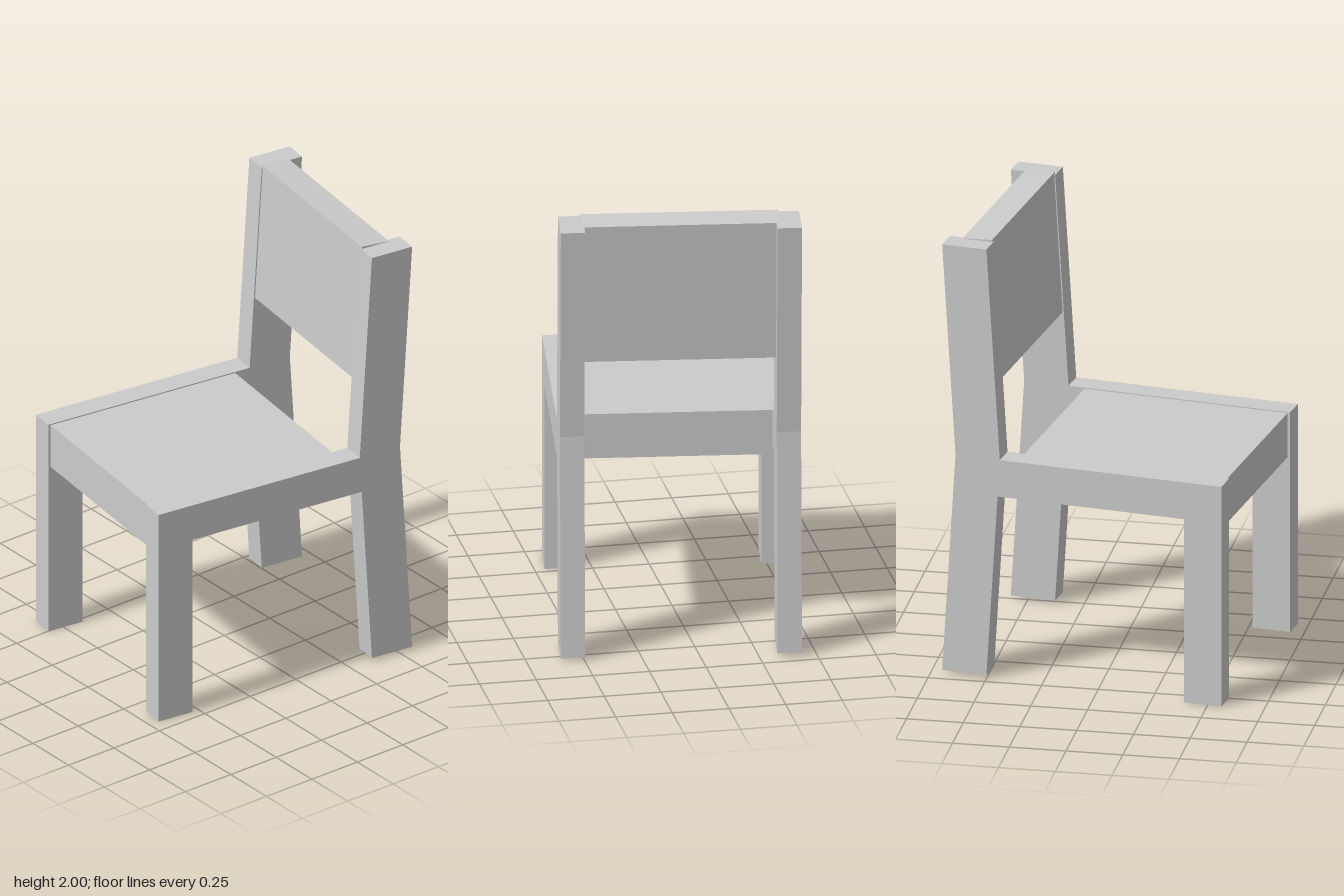
import * as THREE from 'three';

const material = new THREE.MeshStandardMaterial({ color: 0xcccccc, flatShading: true });

// Extrudes a side profile (x toward the chair's back, y up) between z0 and z1
function profileMesh(name, points, z0, z1) {
  const shape = new THREE.Shape(points.map(([x, y]) => new THREE.Vector2(x, y)));
  const geometry = new THREE.ExtrudeGeometry(shape, { depth: z1 - z0, bevelEnabled: false });
  geometry.translate(0, 0, z0);
  const mesh = new THREE.Mesh(geometry, material);
  mesh.name = name;
  return mesh;
}

export function createModel() {
  const chair = new THREE.Group();
  chair.name = 'chair';

  // Side frame: front leg, seat rail and bent back post in one piece
  const frame = [
    [-0.638, 0], [-0.467, 0], [-0.467, 0.85], [0.383, 0.85], [0.434, 0.015], [0.636, 0.015],
    [0.575, 1.02], [0.636, 1.99], [0.434, 1.99], [0.373, 1.02], [-0.638, 1.02],
  ];
  chair.add(profileMesh('sideFrameNear', frame, 0.417, 0.523));
  chair.add(profileMesh('sideFrameFar', frame, -0.523, -0.417));

  // Thick seat slab, hanging a little below the rails
  const seat = [[-0.626, 0.81], [0.3, 0.81], [0.3, 1.015], [-0.626, 1.015]];
  chair.add(profileMesh('seat', seat, -0.427, 0.427));

  // Backrest panel, leaning with the upper posts
  const backrest = [[0.4, 1.358], [0.534, 1.35], [0.574, 1.991], [0.439, 2]];
  chair.add(profileMesh('backrest', backrest, -0.43, 0.43));

  // The chair stands turned slightly in plan
  chair.rotation.y = THREE.MathUtils.degToRad(-7.7);

  const model = new THREE.Group();
  model.add(chair);
  return model;
}
